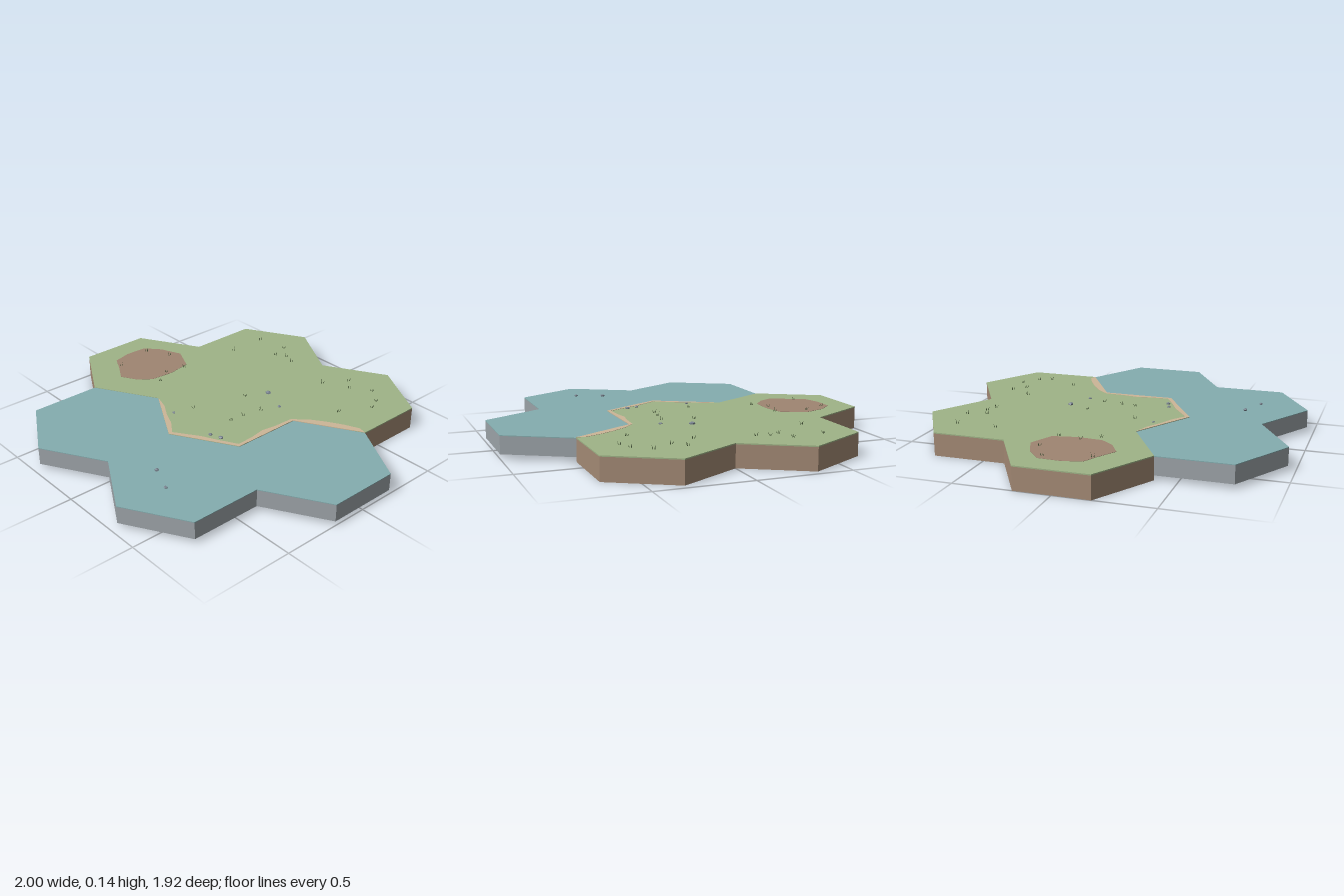
import * as THREE from 'three';
import { mergeGeometries } from 'three/addons/utils/BufferGeometryUtils.js';

const A = 1 / 3, H = 0.1925; // half width of a hex, half length of its side

const material = (name, color) => {
  const m = new THREE.MeshStandardMaterial({ color });
  m.name = name;
  return m;
};

// Flat slab between two heights, outlined by [x, z] points
function slab(points, y0, y1) {
  const shape = new THREE.Shape(points.map(([x, z]) => new THREE.Vector2(x, -z)));
  const g = new THREE.ExtrudeGeometry(shape, { depth: y1 - y0, bevelEnabled: false });
  g.rotateX(-Math.PI / 2);
  g.translate(0, y0, 0);
  return g;
}

const hexGrid = (points) => points.map(([i, j]) => [i * A, j * H]);

export function createModel() {
  const model = new THREE.Group();
  model.name = 'hexTerrain';
  const grass = material('grass green', 0x9fb487);
  const water = material('water blue', 0x84adaf);
  const soil = material('soil brown', 0xa48a75);
  const rock = material('bed grey', 0x9ca3a8);
  const dirt = material('dirt brown', 0x9f8572);
  const sand = material('sand', 0xcdb697);
  const stone = material('stone grey', 0x7c8692);
  const blade = material('tuft green', 0x4f6140);
  blade.side = THREE.DoubleSide;

  const add = (name, geometry, mat) => {
    const mesh = new THREE.Mesh(geometry, mat);
    mesh.name = name;
    model.add(mesh);
  };

  // Four land hexes and three water hexes, each joined into one outline
  const land = hexGrid([[-3, -1], [-2, -2], [-2, -4], [-1, -5], [0, -4], [1, -5], [2, -4],
    [2, -2], [1, -1], [1, 1], [0, 2], [-1, 1], [-2, 2], [-3, 1]]);
  const sea = hexGrid([[1, -1], [2, -2], [3, -1], [3, 1], [2, 2], [2, 4], [1, 5],
    [0, 4], [-1, 5], [-2, 4], [-2, 2], [-1, 1], [0, 2], [1, 1]]);
  add('soilBase', slab(land, 0, 0.117), soil);
  add('grassTop', slab(land, 0.117, 0.123), grass);
  add('waterBed', slab(sea, 0.025, 0.117), rock);
  add('waterTop', slab(sea, 0.117, 0.121), water);

  // Bare earth in the left hex
  add('dirtPatch', slab([[-0.67, -0.24], [-0.54, -0.18], [-0.515, -0.05], [-0.525, 0.08],
    [-0.58, 0.15], [-0.67, 0.2], [-0.77, 0.14], [-0.85, 0.1], [-0.875, 0], [-0.87, -0.12],
    [-0.79, -0.19]], 0.121, 0.1245), dirt);

  // Beach: the shoreline, then an uneven inner edge on the way back
  const shore = hexGrid([[-1, 1], [0, 2], [1, 1], [1, -1], [2, -2]]);
  const inner = [[0.62, -0.395], [0.54, -0.36], [0.46, -0.315], [0.38, -0.26], [0.315, -0.19],
    [0.31, -0.08], [0.297, 0], [0.31, 0.08], [0.315, 0.18], [0.22, 0.232], [0.13, 0.275],
    [0, 0.362], [-0.08, 0.305], [-0.16, 0.27], [-0.24, 0.222]];
  add('beach', slab([...shore, ...inner], 0.119, 0.1245), sand);

  // Stones on the land and in the water: x, z, radius
  const stones = [[0.03, -0.3, 0.017], [0.18, -0.24, 0.011], [-0.15, 0.23, 0.009],
    [0.15, 0.23, 0.012], [0.21, 0.21, 0.014], [0.225, 0.64, 0.013], [0.37, 0.7, 0.011]];
  add('stones', mergeGeometries(stones.map(([x, z, r], i) => {
    const g = new THREE.DodecahedronGeometry(r);
    g.rotateY(i * 1.3);
    g.scale(1, 0.6, 0.85);
    g.translate(x, 0.123 + r * 0.2, z);
    return g;
  })), stone);

  // Grass tufts: three leaning blades each
  const spots = [[-0.49, -0.73], [-0.31, -0.76], [-0.22, -0.69], [-0.28, -0.66],
    [-0.155, -0.665], [-0.49, -0.51], [0.23, -0.74], [0.4, -0.75], [0.29, -0.68],
    [0.49, -0.68], [0.15, -0.61], [0.52, -0.61], [0.43, -0.44], [-0.03, -0.18],
    [0.14, -0.14], [0.12, -0.03], [0.11, 0.05], [-0.12, 0.12], [-0.48, 0.06],
    [-0.54, -0.03], [-0.52, -0.15], [-0.7, -0.18], [-0.83, -0.11], [-0.78, 0.12]];
  const blades = [];
  spots.forEach(([x, z], i) => {
    for (let k = 0; k < 3; k++) {
      const h = 0.014 + 0.004 * ((i + k) % 3);
      const g = new THREE.ConeGeometry(0.0025, h, 3);
      g.translate(0, h / 2, 0);
      g.rotateZ(0.3);
      g.translate(-0.006, 0, 0);
      g.rotateY(i + k * 2.1);
      g.translate(x, 0.123, z);
      blades.push(g);
    }
  });
  add('grassTufts', mergeGeometries(blades), blade);

  return model;
}
